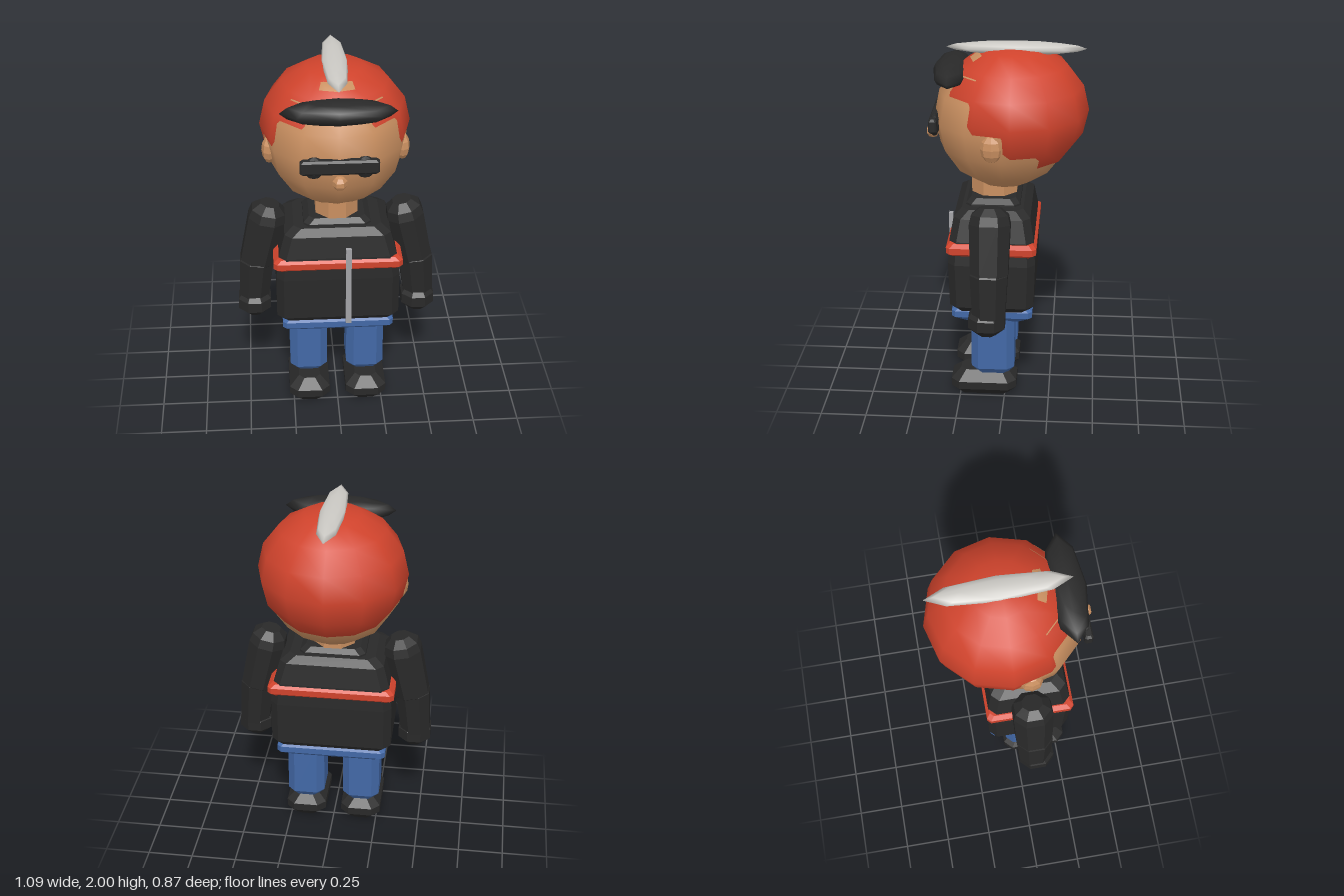
import * as THREE from 'three';

const material = (name, color) => {
  const m = new THREE.MeshStandardMaterial({ color });
  m.name = name;
  return m;
};

// Faceted solid from chamfered-rectangle sections: [y, halfX, halfZ, chamfer], bottom to top
function loft(sections) {
  const rings = sections.map(([y, hx, hz, c]) => [
    [hx, c - hz], [hx, hz - c], [hx - c, hz], [c - hx, hz],
    [-hx, hz - c], [-hx, c - hz], [c - hx, -hz], [hx - c, -hz],
  ].map(([x, z]) => [x, y, z]));
  const pos = [];
  const tri = (a, b, c) => pos.push(...a, ...b, ...c);
  const low = rings[0], high = rings[rings.length - 1];
  const lowMid = [0, low[0][1], 0], highMid = [0, high[0][1], 0];
  for (let i = 0; i < 8; i++) {
    const j = (i + 1) % 8;
    for (let r = 0; r < rings.length - 1; r++) {
      const a = rings[r], b = rings[r + 1];
      tri(a[i], b[i], a[j]);
      tri(b[i], b[j], a[j]);
    }
    tri(lowMid, low[i], low[j]);
    tri(highMid, high[j], high[i]);
  }
  const g = new THREE.BufferGeometry();
  g.setAttribute('position', new THREE.Float32BufferAttribute(pos, 3));
  g.computeVertexNormals();
  return g;
}

// Regular octagonal section, slightly deeper than wide
const round = (y, r) => [y, r, r * 1.08, r * 0.586];

// Low-poly ellipsoid, smooth or faceted
function ellipsoid(rx, ry, rz, seg, rows, faceted = false) {
  let g = new THREE.SphereGeometry(1, seg, rows).scale(rx, ry, rz);
  if (faceted) {
    g = g.toNonIndexed();
    g.computeVertexNormals();
  }
  return g;
}

export function createModel() {
  const model = new THREE.Group();
  const red = material('red', 0xd0432c);
  const skin = material('skin', 0xc98f60);
  const black = material('black', 0x292929);
  const blue = material('denim blue', 0x4268a6);
  const silver = material('silver', 0xcbc9c4);
  const grey = material('zip grey', 0xa2a2a6);

  const add = (name, geometry, mat, x, y, z, parent = model) => {
    const mesh = new THREE.Mesh(geometry, mat);
    mesh.name = name;
    mesh.position.set(x, y, z);
    parent.add(mesh);
    return mesh;
  };
  const bodyZ = 0.065;

  // Head and hair
  add('head', ellipsoid(0.38, 0.38, 0.38, 12, 8), skin, 0, 1.587, 0.01);
  add('hair', ellipsoid(0.4, 0.35, 0.4, 12, 8), red, 0, 1.635, -0.038);
  add('visor', ellipsoid(0.3, 0.062, 0.1, 8, 6), black, 0, 1.845, 0.29);
  add('crest', ellipsoid(0.07, 0.034, 0.37, 8, 6), silver, 0, 1.966, -0.05);
  add('nose', ellipsoid(0.04, 0.04, 0.038, 6, 5, true), skin, 0, 1.5, 0.4);

  // Glasses: bar with a faceted lens behind each half
  add('glassesBar', loft([
    [-0.04, 0.19, 0.014, 0.006], [-0.028, 0.203, 0.022, 0.008],
    [0.028, 0.203, 0.022, 0.008], [0.04, 0.19, 0.014, 0.006],
  ]), black, 0, 1.585, 0.38);

  // Neck and jacket
  add('neck', loft([round(1.1, 0.113), round(1.27, 0.113)]), skin, 0, 0, bodyZ);
  add('collar', loft([
    [1.1, 0.185, 0.15, 0.03], [1.145, 0.18, 0.145, 0.03], [1.17, 0.15, 0.12, 0.03],
  ]), black, 0, 0, bodyZ);
  add('jacket', loft([
    [0.56, 0.3, 0.2, 0.04], [0.6, 0.335, 0.228, 0.04], [0.85, 0.335, 0.235, 0.04],
    [0.98, 0.318, 0.226, 0.04], [1.1, 0.285, 0.205, 0.04], [1.135, 0.235, 0.165, 0.04],
  ]), black, 0, 0, bodyZ);
  add('chestStripe', loft([
    [0.903, 0.325, 0.222, 0.02], [0.922, 0.348, 0.241, 0.02],
    [0.956, 0.348, 0.241, 0.02], [0.974, 0.325, 0.222, 0.02],
  ]), red, 0, 0, bodyZ);
  add('zip', new THREE.BoxGeometry(0.03, 0.475, 0.022), grey, 0.055, 0.807, 0.304);

  // Hips
  add('hips', loft([
    [0.48, 0.25, 0.165, 0.02], [0.525, 0.305, 0.22, 0.02],
    [0.56, 0.305, 0.22, 0.02], [0.576, 0.285, 0.2, 0.02],
  ]), blue, 0, 0, bodyZ);

  // Paired parts
  const legShape = loft([
    [0.14, 0.075, 0.09, 0.03], [0.18, 0.105, 0.12, 0.04], [0.5, 0.105, 0.12, 0.04],
  ]);
  const shoeShape = loft([
    [0, 0.068, 0.14, 0.03], [0.05, 0.114, 0.183, 0.045],
    [0.095, 0.114, 0.183, 0.045], [0.148, 0.06, 0.13, 0.03],
  ]);
  const upperArmShape = loft([
    round(-0.32, 0.07), round(-0.29, 0.092), round(-0.02, 0.1), round(0.03, 0.09), round(0.068, 0.05),
  ]);
  const foreArmShape = loft([
    round(-0.27, 0.08), round(-0.02, 0.092), round(0.02, 0.07),
  ]);
  const handShape = loft([
    round(-0.078, 0.045), round(-0.03, 0.09), round(0.03, 0.09), round(0.07, 0.06),
  ]);
  const earShape = ellipsoid(0.04, 0.075, 0.06, 8, 6, true);
  const lensShape = ellipsoid(0.055, 0.062, 0.026, 8, 6, true);

  for (const [side, s] of [['left', 1], ['right', -1]]) {
    add(side + 'Ear', earShape, skin, s * 0.353, 1.528, 0.057);
    add(side + 'Lens', lensShape, black, s * 0.13, 1.578, 0.375);
    add(side + 'Leg', legShape, blue, s * 0.16, 0, bodyZ);
    add(side + 'Shoe', shoeShape, black, s * 0.16, 0, 0.117);

    const arm = new THREE.Group();
    arm.name = side + 'Arm';
    model.add(arm);
    add('upperArm', upperArmShape, black, s * 0.372, 1.14, bodyZ, arm).rotation.z = s * 0.22;
    add('forearm', foreArmShape, black, s * 0.437, 0.88, 0.067, arm).rotation.z = s * 0.09;
    add('hand', handShape, black, s * 0.457, 0.593, 0.078, arm);
  }
  return model;
}
